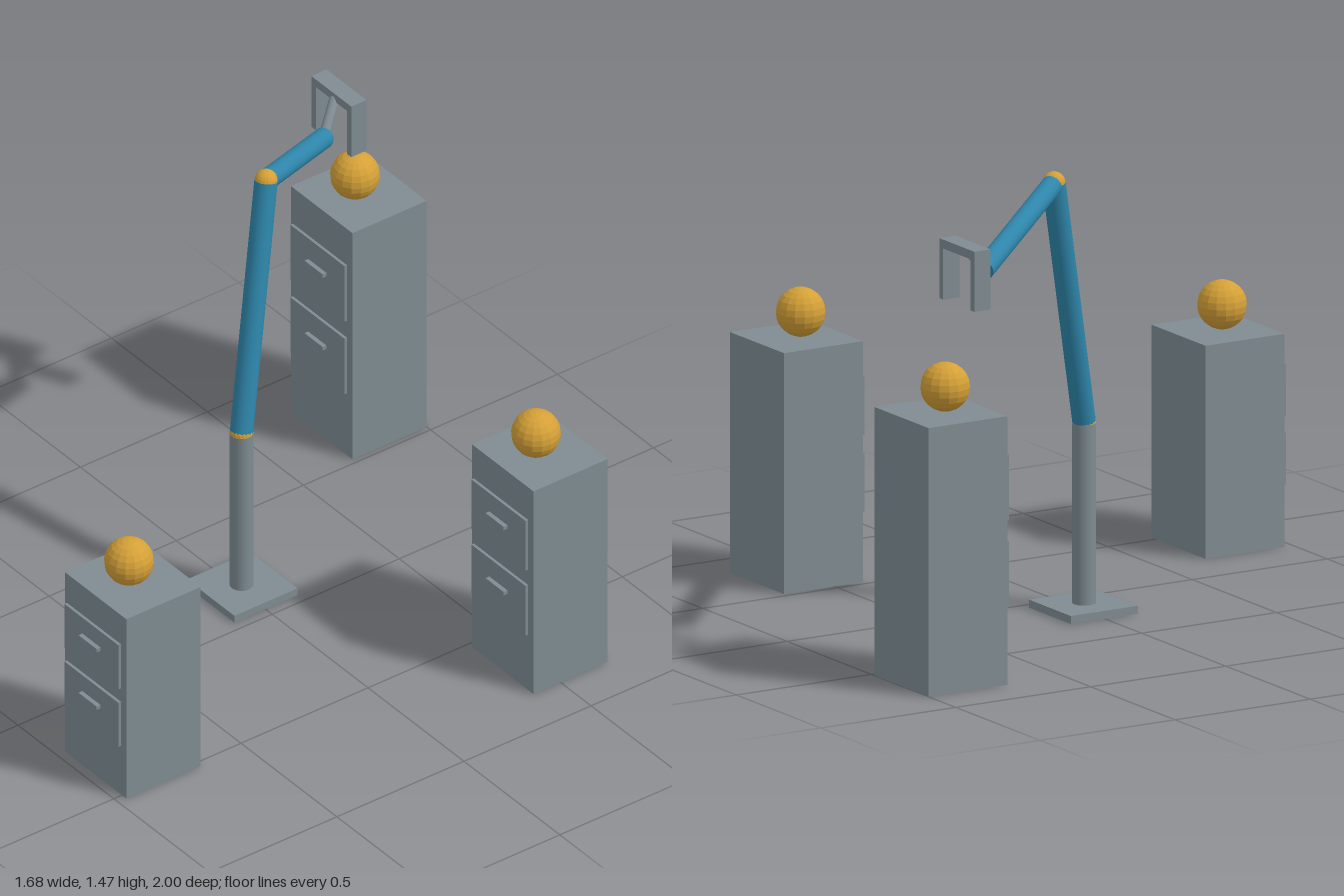
import * as THREE from 'three';

const mat = (name, color, flatShading = false) => {
  const m = new THREE.MeshStandardMaterial({ color, flatShading });
  m.name = name;
  return m;
};

export function createModel() {
  const model = new THREE.Group();
  model.name = 'robotArmAndCabinets';
  const grey = mat('steelGrey', 0x7f8c92);
  const blue = mat('armBlue', 0x2e86ab);
  const gold = mat('gold', 0xd4a037, true);

  const add = (parent, name, geometry, material, x, y, z) => {
    const mesh = new THREE.Mesh(geometry, material);
    mesh.name = name;
    mesh.position.set(x, y, z);
    parent.add(mesh);
    return mesh;
  };
  const box = (parent, name, w, h, d, x, y, z) =>
    add(parent, name, new THREE.BoxGeometry(w, h, d), grey, x, y, z);
  const ball = (parent, name, r, p) =>
    add(parent, name, new THREE.SphereGeometry(r, 16, 12), gold, p.x, p.y, p.z);

  // Cylinder running from point a to point b
  const rod = (parent, name, a, b, r, material) => {
    const dir = b.clone().sub(a);
    const mid = a.clone().add(b).multiplyScalar(0.5);
    const mesh = add(parent, name, new THREE.CylinderGeometry(r, r, dir.length(), 24), material, mid.x, mid.y, mid.z);
    mesh.quaternion.setFromUnitVectors(new THREE.Vector3(0, 1, 0), dir.normalize());
  };

  // Cabinets: two drawers each, with a ball on top
  const depth = 0.292;
  const cabinet = (x, z, h) => {
    const g = new THREE.Group();
    g.name = 'cabinet';
    g.position.set(x, 0, z);
    box(g, 'cabinetBody', 0.32, h, depth, 0, h / 2, 0);
    for (const level of [0.406, 0.727]) {
      box(g, 'drawerFront', 0.282, h * 0.246, 0.01, 0, h * level, depth / 2 + 0.012);
      box(g, 'drawerHandle', 0.095, 0.013, 0.015, 0, h * (level + 0.025), depth / 2 + 0.0245);
    }
    ball(g, 'cabinetBall', 0.079, new THREE.Vector3(0, h + 0.079, 0.015));
    model.add(g);
  };
  cabinet(-0.68, -0.854, 0.87);
  cabinet(0.68, -0.54, 0.78);
  cabinet(0.363, 0.822, 0.69);

  // Robot arm: pedestal, two blue links, gold joints and a thin wrist
  const arm = new THREE.Group();
  arm.name = 'robotArm';
  model.add(arm);
  const foot = new THREE.Vector3(-0.16, 0.02, 0);
  const shoulder = new THREE.Vector3(-0.16, 0.61, 0);
  const elbow = new THREE.Vector3(-0.277, 1.435, -0.185);
  const wrist = new THREE.Vector3(-0.54, 1.267, -0.609);
  const hand = new THREE.Vector3(-0.597, 1.353, -0.697);
  box(arm, 'basePlate', 0.248, 0.026, 0.248, -0.159, 0.013, -0.002);
  rod(arm, 'pedestal', foot, shoulder, 0.038, grey);
  ball(arm, 'shoulderJoint', 0.038, shoulder);
  rod(arm, 'upperArm', shoulder, elbow, 0.037, blue);
  ball(arm, 'elbowJoint', 0.037, elbow);
  rod(arm, 'forearm', elbow, wrist, 0.034, blue);
  rod(arm, 'wristRod', wrist, hand, 0.017, grey);

  // Gripper: crossbar with two downward fingers
  const gripper = new THREE.Group();
  gripper.name = 'gripper';
  gripper.position.set(-0.602, 0, -0.717);
  arm.add(gripper);
  box(gripper, 'gripperBar', 0.208, 0.029, 0.06, 0, 1.364, 0);
  for (const side of [-1, 1]) {
    box(gripper, 'gripperFinger', 0.023, 0.168, 0.06, side * 0.0925, 1.268, 0);
  }
  return model;
}
